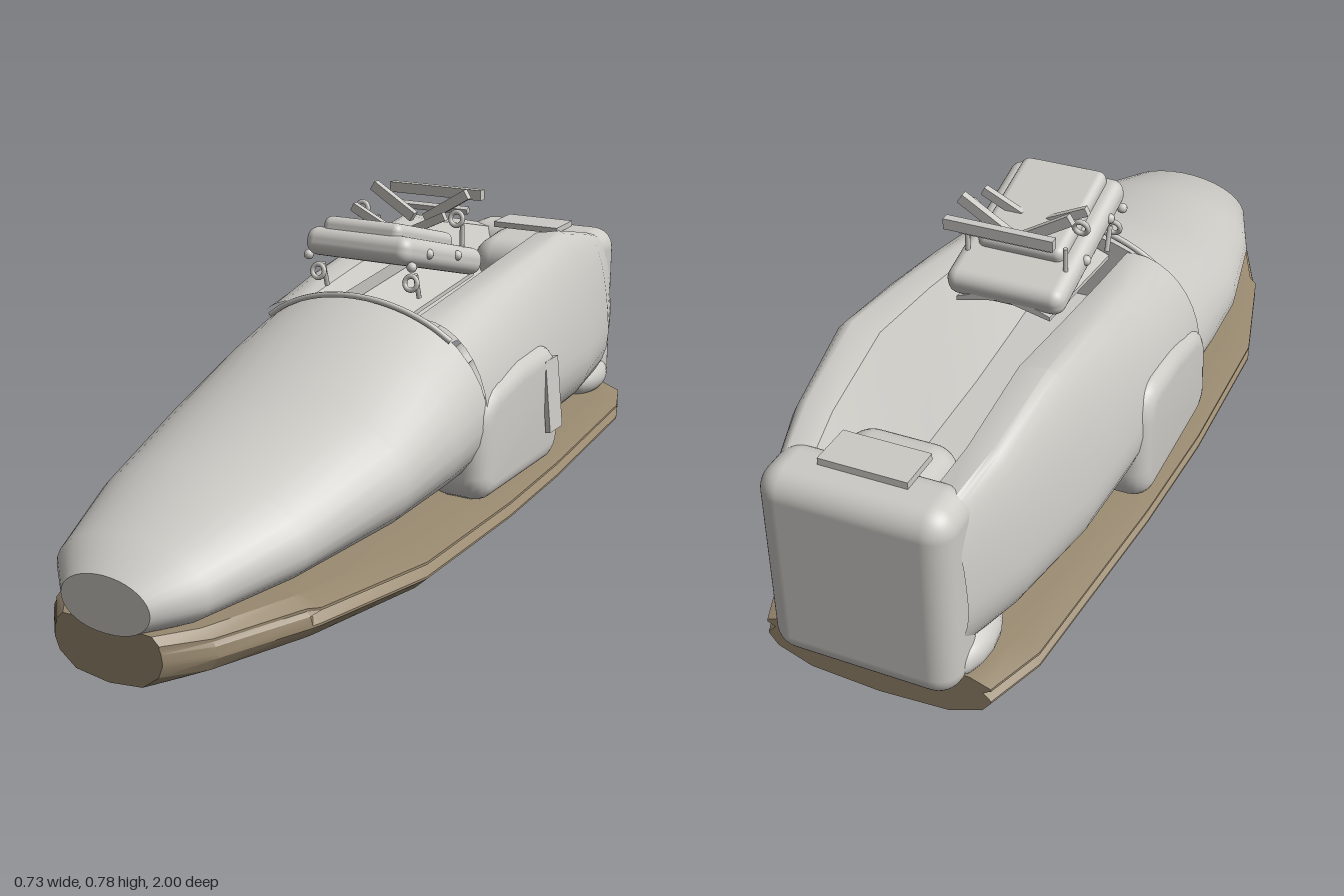
import * as THREE from 'three';
import { toCreasedNormals } from 'three/addons/utils/BufferGeometryUtils.js';
import { RoundedBoxGeometry } from 'three/addons/geometries/RoundedBoxGeometry.js';

const grey = new THREE.MeshStandardMaterial({ color: 0xcccac5 });
grey.name = 'shell grey';
const tan = new THREE.MeshStandardMaterial({ color: 0x98886f });
tan.name = 'base tan';

// Mirror a half section (top centre to bottom centre, x >= 0) into a closed ring.
function ring(half, z) {
  const left = half.map(([x, y]) => [-x, y, z]);
  const right = half.slice(1, -1).reverse().map(([x, y]) => [x, y, z]);
  return [...left, ...right];
}

// Skin a list of rings running from front to back, optionally capping the ends.
function loft(rings, crease, capFront, capBack) {
  const n = rings[0].length, pos = rings.flat(2), idx = [];
  for (let i = 0; i < rings.length - 1; i++) {
    for (let j = 0; j < n; j++) {
      const k = (j + 1) % n, a = i * n + j, b = i * n + k;
      idx.push(a, a + n, b + n, a, b + n, b);
    }
  }
  const cap = (row, flip) => {
    const r = rings[row], c = pos.length / 3;
    const y = (Math.min(...r.map(p => p[1])) + Math.max(...r.map(p => p[1]))) / 2;
    pos.push(0, y, r[0][2]);
    for (let j = 0; j < n; j++) {
      const a = row * n + j, b = row * n + (j + 1) % n;
      flip ? idx.push(c, b, a) : idx.push(c, a, b);
    }
  };
  if (capFront) cap(0, false);
  if (capBack) cap(rings.length - 1, true);
  const g = new THREE.BufferGeometry();
  g.setAttribute('position', new THREE.Float32BufferAttribute(pos, 3));
  g.setIndex(idx);
  return toCreasedNormals(g, crease);
}

// Elliptic arc between the upper edge (rx, top), widest point (w, mid) and bottom centre.
function flank(rx, top, w, mid, bottom, power) {
  const pts = [], N = 9;
  for (let i = 0; i <= N; i++) {
    const t = i / N * Math.PI / 2;
    pts.push([rx + (w - rx) * Math.sin(t), mid + (top - mid) * Math.cos(t) ** power]);
  }
  for (let i = 1; i <= N; i++) {
    const t = i / N * Math.PI / 2;
    pts.push([i === N ? 0 : w * Math.cos(t) ** 0.9, mid - (mid - bottom) * Math.sin(t)]);
  }
  return pts;
}

export function createModel() {
  const model = new THREE.Group();
  const add = (name, geo, mat, p = [0, 0, 0], r = [0, 0, 0], parent = model) => {
    const m = new THREE.Mesh(geo, mat);
    m.name = name;
    m.position.set(...p);
    m.rotation.set(...r);
    parent.add(m);
    return m;
  };

  // Base board: [z, half width]; the edge groove starts behind the nose
  const boardRows = [[0.998, 0.13], [0.92, 0.2], [0.72, 0.285], [0.7, 0.292], [0.4, 0.365],
    [0, 0.365], [-0.3, 0.348], [-0.8, 0.3], [-0.93, 0.252]];
  const board = boardRows.map(([z, w]) => {
    const groove = z > 0.71 ? 0.98 : 0.93, lip = z > 0.71 ? 0.95 : 1;
    return ring([[0, 0.139], [w * 0.82, 0.136], [w * lip, 0.12], [w * lip, 0.114], [w * groove, 0.105],
      [w, 0.087], [w, 0.082], [w * 0.92, 0.055], [w * 0.62, 0.025], [0, 0.015]], z);
  });
  add('baseBoard', loft(board, 0.35, true, true), tan);

  // Nose: [z, half width, widest height, top, bottom]
  const nose = [[1, 0.107, 0.178, 0.237, 0.118], [0.92, 0.185, 0.19, 0.29, 0.116],
    [0.7, 0.26, 0.22, 0.357, 0.116], [0.4, 0.32, 0.265, 0.44, 0.116],
    [0.2, 0.333, 0.295, 0.525, 0.116], [0.06, 0.335, 0.315, 0.574, 0.116]];
  add('nose', loft(nose.map(([z, w, m, t, b]) => ring(flank(0, t, w, m, b, 1), z)), 0.6, true, true), grey);

  // Rear shell with open cockpit: [z, width, rim x, rim y, inner x, inner y, floor x, floor y, power]
  const rear = [[0.065, 0.335, 0.17, 0.54, 0.15, 0.54, 0.06, 0.4, 1],
    [-0.12, 0.335, 0.195, 0.575, 0.155, 0.567, 0.055, 0.39, 1.15],
    [-0.33, 0.331, 0.21, 0.607, 0.158, 0.597, 0.052, 0.38, 1.3],
    [-0.56, 0.318, 0.218, 0.636, 0.155, 0.624, 0.05, 0.38, 1.35],
    [-0.78, 0.275, 0.2, 0.59, 0.145, 0.578, 0.05, 0.4, 1.3],
    [-0.94, 0.215, 0.17, 0.55, 0.12, 0.54, 0.05, 0.42, 1.2]];
  add('rearShell', loft(rear.map(([z, w, rx, ry, ix, iy, fx, fy, p]) =>
    ring([[0, fy], [fx, fy], [ix, iy], ...flank(rx, ry, w, 0.32, 0.116, p)], z)), 0.6), grey);

  // Curved lip along the front of the cockpit
  const lipPts = [];
  for (let i = -6; i <= 6; i++) {
    const x = i * 0.04;
    lipPts.push(new THREE.Vector3(x, 0.316 + 0.262 * Math.sqrt(1 - (x / 0.336) ** 2), 0.085 - 0.3 * x * x));
  }
  add('cockpitLip', new THREE.TubeGeometry(new THREE.CatmullRomCurve3(lipPts), 24, 0.007, 6), grey);

  // Ridged dashboard shelf under the console
  const shelf = loft([[0.05, 0.572], [-0.3, 0.612]].map(([z, y]) =>
    ring([[0, y], [0.11, y - 0.042], [0.11, y - 0.052], [0, y - 0.014]], z)), 0.3, true, true);
  add('dashboardShelf', shelf, grey);

  // Tail block, its lower bulges and the headrest
  add('tailBlock', new RoundedBoxGeometry(0.41, 0.455, 0.15, 5, 0.055), grey, [0, 0.342, -0.925]);
  add('headrest', new RoundedBoxGeometry(0.24, 0.2, 0.2, 5, 0.06), grey, [0, 0.455, -0.83], [0.12, 0, 0]);
  add('tailCap', new THREE.BoxGeometry(0.19, 0.015, 0.1), grey, [0, 0.576, -0.878], [0.04, 0, 0]);
  for (const s of [-1, 1]) {
    const bulge = add('tailBulge', new THREE.SphereGeometry(1, 16, 10), grey, [s * 0.17, 0.17, -0.86]);
    bulge.scale.set(0.06, 0.05, 0.11);
  }

  // Side pods, outlined in side elevation
  const outline = new THREE.Shape();
  outline.moveTo(-0.04, 0.175);
  outline.lineTo(0.26, 0.175);
  outline.quadraticCurveTo(0.285, 0.18, 0.285, 0.22);
  outline.lineTo(0.275, 0.34);
  outline.quadraticCurveTo(0.265, 0.388, 0.23, 0.388);
  outline.lineTo(0.12, 0.383);
  outline.quadraticCurveTo(0.07, 0.375, 0.03, 0.365);
  outline.quadraticCurveTo(-0.05, 0.36, -0.06, 0.31);
  outline.lineTo(-0.072, 0.2);
  outline.quadraticCurveTo(-0.07, 0.175, -0.04, 0.175);
  const pod = toCreasedNormals(new THREE.ExtrudeGeometry(outline, {
    depth: 0.06, bevelThickness: 0.045, bevelSize: 0.042, bevelSegments: 5, curveSegments: 6,
  }).translate(0, 0, -0.03).rotateY(Math.PI / 2), 0.7);
  for (const s of [-1, 1]) add('sidePod', pod, grey, [s * 0.27, 0, 0]);
  add('podPanel', new THREE.BoxGeometry(0.012, 0.175, 0.07), grey, [0.347, 0.307, -0.255], [0, 0, 0.1]);

  // Tilted console with raised pad
  const desk = new THREE.Group();
  desk.name = 'console';
  desk.position.set(0, 0.645, -0.11);
  desk.rotation.x = -0.26;
  model.add(desk);
  add('consoleBody', new RoundedBoxGeometry(0.275, 0.065, 0.4, 4, 0.028), grey, [0, 0, 0], [0, 0, 0], desk);
  add('consolePad', new RoundedBoxGeometry(0.205, 0.05, 0.28, 4, 0.02), grey, [0, 0.035, 0.045], [0, 0, 0], desk);

  // Rack of bars behind the console
  add('topBar', new THREE.BoxGeometry(0.25, 0.025, 0.02), grey, [0, 0.758, -0.31]);
  add('lowerBar', new THREE.BoxGeometry(0.21, 0.014, 0.014), grey, [0, 0.724, -0.275], [0.4, 0, 0]);
  const ringGeo = new THREE.TorusGeometry(0.016, 0.006, 8, 16);
  const postGeo = new THREE.CylinderGeometry(0.006, 0.006, 0.06, 8);
  for (const s of [-1, 1]) {
    add('longSlat', new THREE.BoxGeometry(0.13, 0.024, 0.018), grey, [s * 0.072, 0.74, -0.225], [0, 0, s * 0.55]);
    add('shortSlat', new THREE.BoxGeometry(0.1, 0.02, 0.016), grey, [s * 0.078, 0.717, -0.12], [0, 0, s * 0.45]);
    add('rackPost', postGeo, grey, [s * 0.115, 0.67, -0.225]);
    add('frontRing', ringGeo, grey, [s * 0.123, 0.613, 0.04], [-0.2, 0, 0]);
    add('frontPost', postGeo, grey, [s * 0.123, 0.6, 0.01], [0.3, 0, 0]);
    add('rearRing', ringGeo, grey, [s * 0.128, 0.725, -0.17], [-0.2, 0, 0]);
    for (const [y, z] of [[0.655, 0.06], [0.67, -0.02], [0.64, -0.16]])
      add('sideKnob', new THREE.SphereGeometry(0.012, 10, 8), grey, [s * 0.136, y, z]);
  }

  // Studs under the board: [x, z, height of the washer]
  for (const [x, z, y] of [[0.135, 0.67, 0.024], [0.2, 0.28, 0.024], [0.23, -0.16, 0.026], [0.175, -0.65, 0.025]])
    for (const s of [-1, 1]) {
      add('studWasher', new THREE.CylinderGeometry(0.034, 0.03, 0.016, 16), grey, [s * x, y, z]);
      add('studHead', new THREE.CylinderGeometry(0.017, 0.015, 0.02, 12), grey, [s * x, 0.01, z]);
    }
  return model;
}
